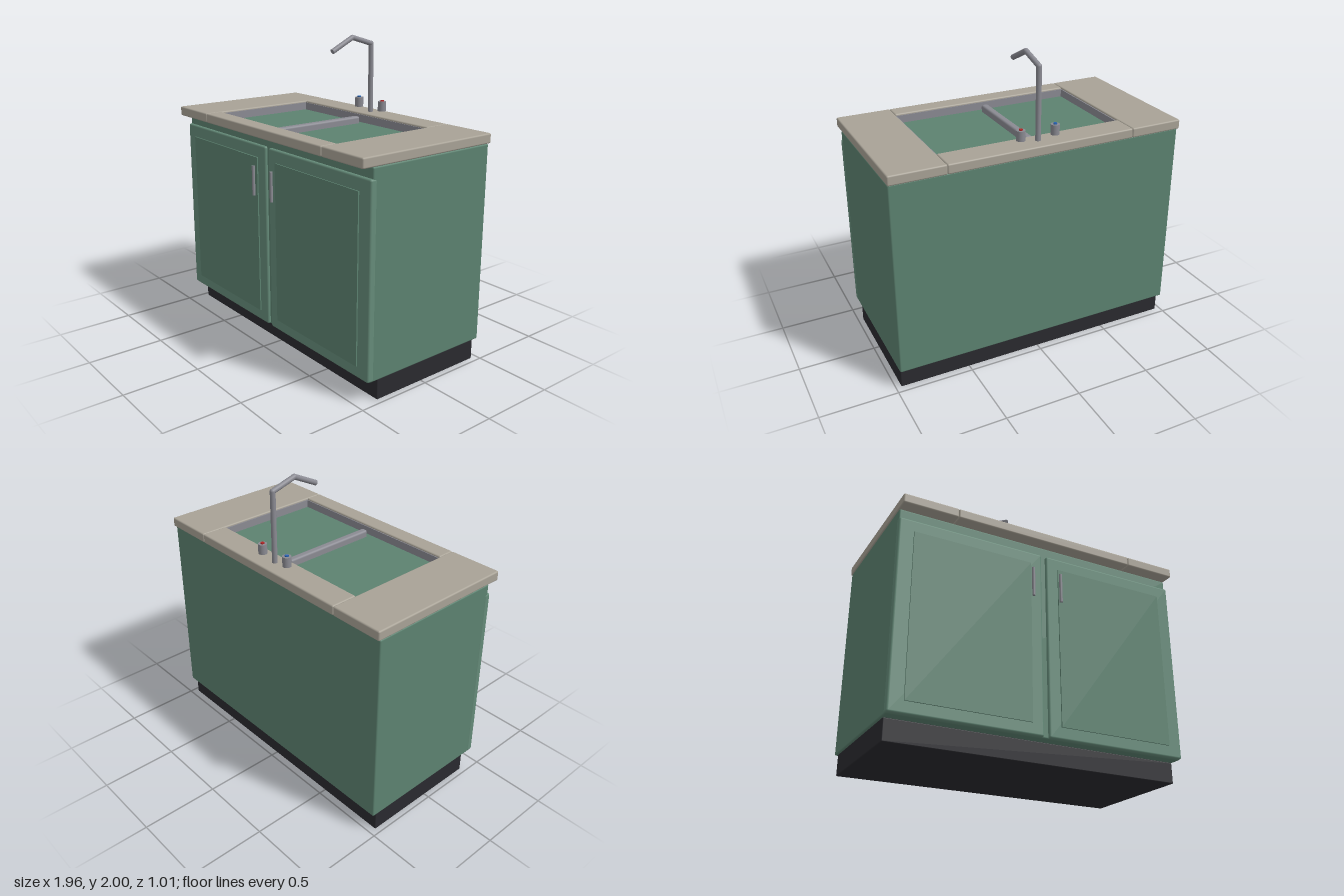
import * as THREE from 'three';
import { RoundedBoxGeometry } from 'three/addons/geometries/RoundedBoxGeometry.js';

const mat = (color) => new THREE.MeshStandardMaterial({ color });

export function createModel() {
  const group = new THREE.Group();
  const green = mat(0x5c8270), doorGreen = mat(0x658b79), stone = mat(0xa8a296);
  const dark = mat(0x2a2a2f), metal = mat(0x8a8a92);

  const add = (name, geometry, material) => {
    const mesh = new THREE.Mesh(geometry, material);
    mesh.name = name;
    group.add(mesh);
    return mesh;
  };

  // Box given by its extents; r > 0 rounds the edges
  const box = (name, material, [x0, x1], [y0, y1], [z0, z1], r = 0) => {
    const size = [x1 - x0, y1 - y0, z1 - z0];
    const geo = r ? new RoundedBoxGeometry(...size, 3, r) : new THREE.BoxGeometry(...size);
    const mesh = add(name, geo, material);
    mesh.position.set((x0 + x1) / 2, (y0 + y1) / 2, (z0 + z1) / 2);
    return mesh;
  };

  // Cylinder between two points
  const rod = (name, material, a, b, r) => {
    const dir = b.clone().sub(a);
    const mesh = add(name, new THREE.CylinderGeometry(r, r, dir.length(), 20), material);
    mesh.position.copy(a).add(b).multiplyScalar(0.5);
    mesh.quaternion.setFromUnitVectors(new THREE.Vector3(0, 1, 0), dir.normalize());
    return mesh;
  };

  // Body and recessed plinth
  box('plinth', dark, [-0.965, 0.965], [0, 0.135], [-0.455, 0.36], 0.006);
  box('cabinet', green, [-0.976, 0.976], [0.135, 1.412], [-0.49, 0.428], 0.01);

  // Worktop slabs around the sink opening
  const slabY = [1.412, 1.475];
  box('backWorktop', stone, [-0.622, 0.622], slabY, [-0.507, -0.33], 0.01);
  box('frontWorktop', stone, [-0.622, 0.622], slabY, [0.39, 0.507], 0.01);

  for (const side of [-1, 1]) {
    const label = side > 0 ? 'left' : 'right';
    const span = (a, b) => (side > 0 ? [a, b] : [-b, -a]);
    box(label + 'Worktop', stone, span(0.622, 0.98), slabY, [-0.507, 0.507], 0.01);

    // Door, its panel and its handle
    box(label + 'Door', doorGreen, span(0.017, 0.979), [0.138, 1.346], [0.4, 0.447], 0.013);
    box(label + 'DoorPanel', green, span(0.098, 0.884), [0.213, 1.264], [0.42, 0.455]);
    rod(label + 'Handle', metal, new THREE.Vector3(side * 0.098, 1.02, 0.484),
      new THREE.Vector3(side * 0.098, 1.215, 0.484), 0.01);

    // Sink side rim
    box(label + 'SinkRim', metal, span(0.614, 0.624), [1.39, 1.463], [-0.332, 0.392]);

    // Tap knob with coloured cap
    const at = (y) => new THREE.Vector3(side * 0.116, y, -0.412);
    rod(label + 'Knob', metal, at(1.495), at(1.56), 0.028);
    rod(label + 'KnobCap', mat(side > 0 ? 0xb02525 : 0x2560b0), at(1.555), at(1.567), 0.012);
  }

  // Sink rim front and back, and the divider between the bowls
  box('backSinkRim', metal, [-0.618, 0.618], [1.39, 1.463], [-0.334, -0.325]);
  box('frontSinkRim', metal, [-0.618, 0.618], [1.39, 1.463], [0.384, 0.394]);
  box('sinkDivider', metal, [-0.024, 0.024], [1.38, 1.458], [-0.3, 0.357], 0.014);

  // Angular tap: straight rods with rounded elbows
  const path = [[1.465, -0.412], [1.934, -0.41], [1.982, -0.245], [1.9, -0.078]]
    .map(([y, z]) => new THREE.Vector3(0, y, z));
  for (let i = 1; i < path.length; i++) {
    rod('tapPipe' + i, metal, path[i - 1], path[i], 0.017);
    if (i < path.length - 1) {
      add('tapElbow' + i, new THREE.SphereGeometry(0.017, 20, 12), metal).position.copy(path[i]);
    }
  }
  return group;
}
